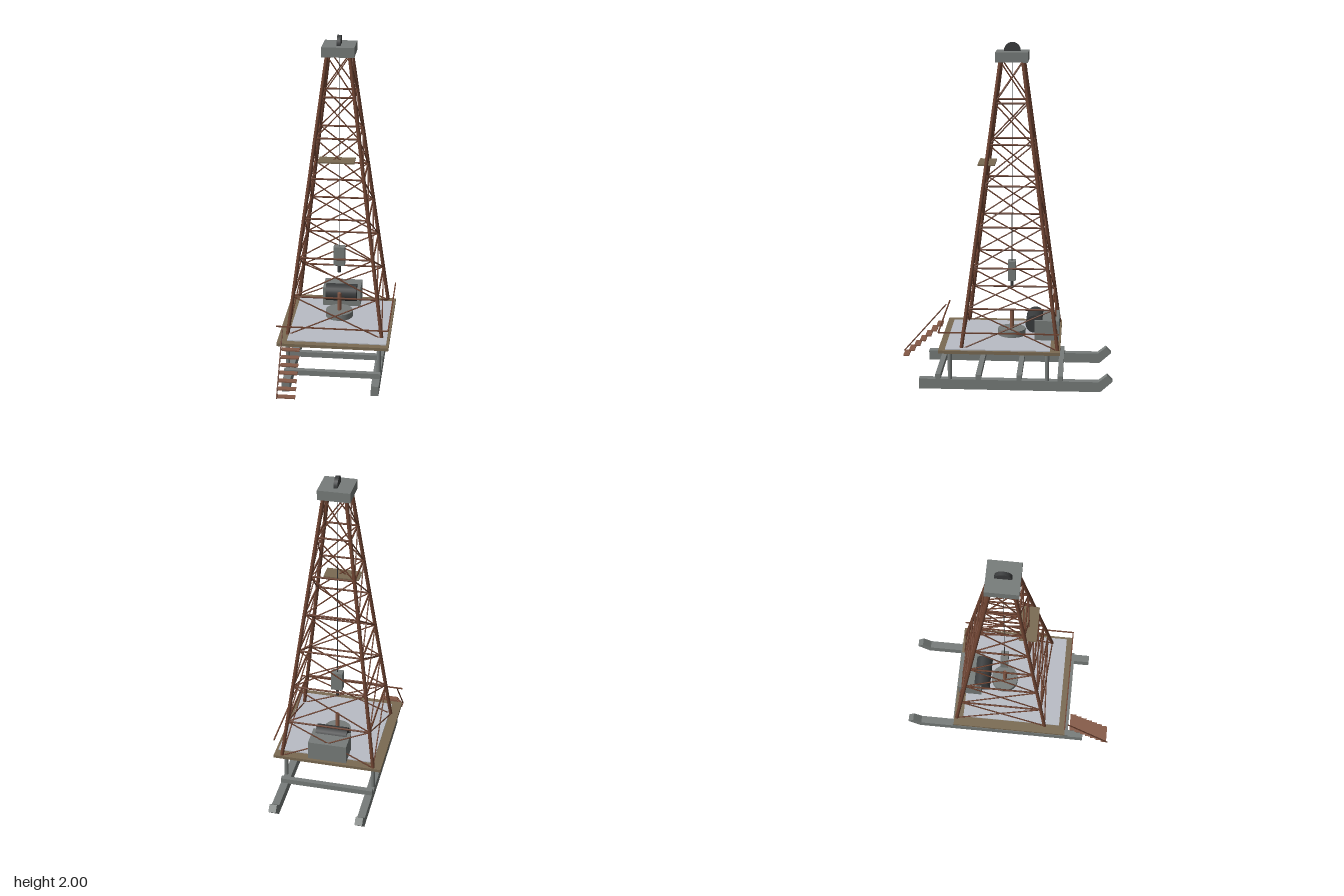
import * as THREE from 'three';

const mat = (name, color) => new THREE.MeshStandardMaterial({ name, color });

export function createModel() {
  const root = new THREE.Group();
  root.name = 'drillingRig';
  const steel = mat('steel grey', 0x777c7a);
  const plate = mat('pale plate', 0xb9bdc5);
  const timber = mat('timber', 0x7a6a52);
  const rust = mat('rusty iron', 0x6e4331);
  const tread = mat('red brown treads', 0x855a47);
  const dark = mat('dark metal', 0x3a3c3d);

  const add = (name, geometry, material, x = 0, y = 0, z = 0, parent = root) => {
    const mesh = new THREE.Mesh(geometry, material);
    mesh.name = name;
    mesh.position.set(x, y, z);
    parent.add(mesh);
    return mesh;
  };
  const box = (name, w, h, d, material, x, y, z, parent) =>
    add(name, new THREE.BoxGeometry(w, h, d), material, x, y, z, parent);
  const cyl = (name, r, h, material, x, y, z, sides = 24) =>
    add(name, new THREE.CylinderGeometry(r, r, h, sides), material, x, y, z);
  // Round bar between two points
  const up = new THREE.Vector3(0, 1, 0);
  const bar = (name, a, b, r, material, parent = root, sides = 6) => {
    const dir = b.clone().sub(a);
    const mesh = add(name, new THREE.CylinderGeometry(r, r, dir.length(), sides), material, 0, 0, 0, parent);
    mesh.position.copy(a).add(b).multiplyScalar(0.5);
    mesh.quaternion.setFromUnitVectors(up, dir.normalize());
    return mesh;
  };
  const V = (x, y, z) => new THREE.Vector3(x, y, z);
  const CZ = -0.048; // derrick axis

  // Skids with upturned back ends
  const profile = new THREE.Shape([
    [0.482, 0], [0.482, 0.06], [-0.567, 0.06], [-0.617, 0.1], [-0.65, 0.066], [-0.578, 0],
  ].map(([z, y]) => new THREE.Vector2(z, y)));
  const skid = new THREE.ExtrudeGeometry(profile, { depth: 0.045, bevelEnabled: false });
  skid.translate(0, 0, -0.0225).rotateY(-Math.PI / 2);
  for (const s of [-1, 1]) {
    add('skid', skid, steel, s * 0.26, 0, 0);
    for (const z of [0.3, -0.268]) cyl('deckPost', 0.0125, 0.175, steel, s * 0.27, 0.147, z, 12);
  }
  for (const z of [0.37, 0.133, -0.105, -0.345]) box('crossBeam', 0.565, 0.032, 0.03, steel, 0, 0.075, z);

  // Working floor
  box('deck', 0.656, 0.018, 0.706, timber, 0, 0.24, 0.01);
  box('floorPlate', 0.583, 0.006, 0.61, plate, 0.021, 0.252, 0.019);
  box('frontRail', 0.656, 0.007, 0.007, rust, 0, 0.358, 0.36);
  box('sideRail', 0.007, 0.007, 0.7, rust, 0.325, 0.358, 0.013);

  // Stairs
  const stairs = new THREE.Group();
  stairs.name = 'stairs';
  root.add(stairs);
  for (let i = 0; i < 7; i++) {
    box('stairTread', 0.105, 0.007, 0.036, tread, -0.237, 0.042 + i * 0.0325, 0.62 - i * 0.035, stairs);
  }
  bar('stairHandrail', V(-0.289, 0.04, 0.645), V(-0.289, 0.346, 0.378), 0.004, rust, stairs);

  // Tapering lattice tower
  const tower = new THREE.Group();
  tower.name = 'derrick';
  root.add(tower);
  const y0 = 0.245, y1 = 1.895, panels = 7;
  const signs = [[-1, 1], [1, 1], [1, -1], [-1, -1]];
  const corner = (k, t) => {
    const half = THREE.MathUtils.lerp(0.28, 0.065, t);
    const [sx, sz] = signs[k % 4];
    return V(sx * half, THREE.MathUtils.lerp(y0, y1, t), CZ + sz * half);
  };
  for (let k = 0; k < 4; k++) {
    bar('derrickLeg', corner(k, 0), corner(k, 1), 0.011, rust, tower, 8);
    for (let i = 0; i < panels; i++) {
      const a = i / panels, b = (i + 1) / panels;
      if (i > 0) bar('girt', corner(k, a), corner(k + 1, a), 0.0055, rust, tower);
      bar('brace', corner(k, a), corner(k + 1, b), 0.004, rust, tower);
      bar('brace', corner(k + 1, a), corner(k, b), 0.004, rust, tower);
    }
  }

  // Crown and sheave
  box('crownBlock', 0.187, 0.057, 0.187, steel, 0, 1.92, CZ);
  cyl('crownSheave', 0.048, 0.022, dark, 0, 1.952, CZ, 24).rotation.z = Math.PI / 2;

  // Platform high on the derrick
  box('upperPlatform', 0.21, 0.008, 0.1, timber, 0, 1.3, 0.097);

  // Hoisting line, block and hook
  bar('hoistLine', V(0, 0.71, CZ), V(0, 1.9, CZ), 0.002, dark);
  box('travellingBlock', 0.068, 0.118, 0.046, steel, 0, 0.651, CZ);
  cyl('hook', 0.01, 0.05, dark, 0, 0.568, CZ, 12);

  // Turntable and drive pipe
  cyl('rotaryTable', 0.083, 0.04, steel, 0, 0.272, CZ, 24);
  cyl('drivePipe', 0.012, 0.12, tread, 0, 0.343, CZ, 12);

  // Winch
  box('winchHousing', 0.232, 0.118, 0.145, steel, 0, 0.314, -0.26);
  cyl('winchDrum', 0.053, 0.19, dark, 0, 0.347, -0.187, 24).rotation.z = Math.PI / 2;

  return root;
}
